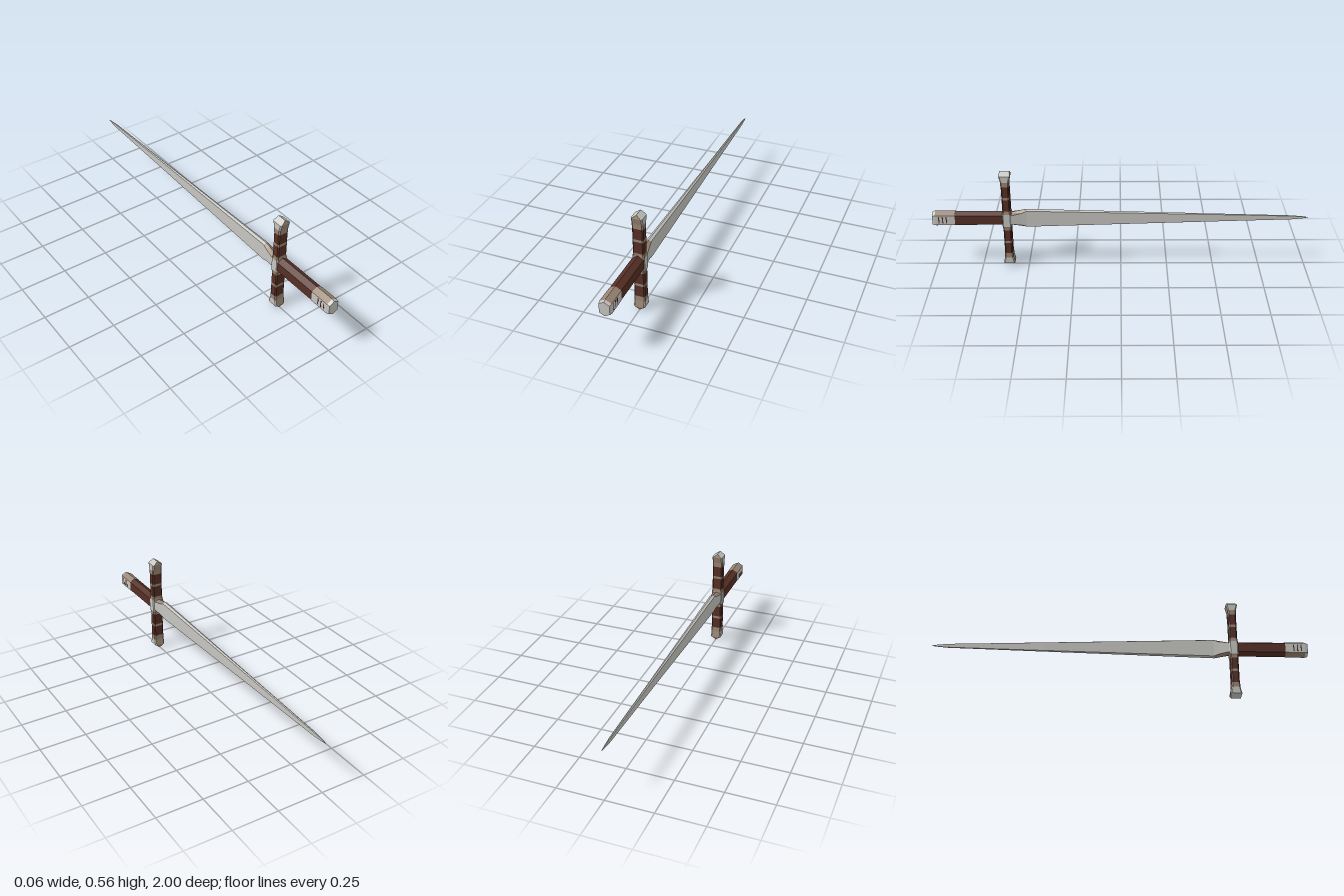
import * as THREE from 'three';

const material = (name, color) => {
  const m = new THREE.MeshStandardMaterial({ color, flatShading: true });
  m.name = name;
  return m;
};

const MID = 0.283; // height of the blade axis

// Skin between cross-sections {w, pts}; pick(row, side) chooses the material of
// each quad (row -1 is the start cap, row -2 the end cap).
function loft(name, rings, pick, place) {
  const buckets = new Map();
  const add = (mat, corners) => {
    if (!buckets.has(mat)) buckets.set(mat, []);
    corners.forEach((c) => buckets.get(mat).push(...place(...c)));
  };
  const at = (r, i) => [...rings[r].pts[i % rings[r].pts.length], rings[r].w];
  const n = rings[0].pts.length;
  const last = rings.length - 1;
  for (let r = 0; r < last; r++) {
    for (let i = 0; i < n; i++) {
      const a = at(r, i), b = at(r, i + 1), c = at(r + 1, i + 1), d = at(r + 1, i);
      add(pick(r, i), [a, b, c, a, c, d]);
    }
  }
  for (let i = 1; i < n - 1; i++) {
    add(pick(-1, i), [at(0, 0), at(0, i + 1), at(0, i)]);
    add(pick(-2, i), [at(last, 0), at(last, i), at(last, i + 1)]);
  }
  const group = new THREE.Group();
  group.name = name;
  for (const [mat, positions] of buckets) {
    const geo = new THREE.BufferGeometry();
    geo.setAttribute('position', new THREE.Float32BufferAttribute(positions, 3));
    geo.computeVertexNormals();
    const mesh = new THREE.Mesh(geo, mat);
    mesh.name = `${name} ${mat.name}`;
    group.add(mesh);
  }
  return group;
}

// Hexagon with points up and down: half width t, half height h, flat side to f
const hexagon = (t, h, f) => [[t, -f], [t, f], [0, h], [-t, f], [-t, -f], [0, -h]];
// Chamfered rectangle: half sizes a, b, corner cut c
const chamfered = (a, b, c) => [
  [a, -b + c], [a, b - c], [a - c, b], [-a + c, b],
  [-a, b - c], [-a, -b + c], [-a + c, -b], [a - c, -b],
];

export function createModel() {
  const steel = material('steel', 0xc6c5c0);
  const bronze = material('aged bronze', 0x9a8674);
  const leather = material('brown leather', 0x562f25);
  const sword = new THREE.Group();
  sword.name = 'sword';

  const alongZ = (x, y, z) => [x, y + MID, z];
  const alongY = (z, x, y) => [x, y + 0.28, z + 0.605];

  // Blade: tip, long taper and flared base
  const bladeRings = [
    [-1, 0.0005, 0.001], [-0.97, 0.002, 0.006], [-0.91, 0.004, 0.0115],
    [-0.4, 0.0065, 0.027], [0.5, 0.014, 0.054],
  ].map(([w, t, h]) => ({ w, pts: hexagon(t, h, h * 0.86) }));
  sword.add(loft('blade', bladeRings, () => steel, alongZ));

  const baseRings = [[0.5, 0.014, 0.054, 0.046], [0.525, 0.017, 0.049, 0.036], [0.6, 0.029, 0.03, 0.022]]
    .map(([w, t, h, f]) => ({ w, pts: hexagon(t, h, f) }));
  const steelSides = (r, i) => (r >= 0 && i % 3 !== 0 ? bronze : steel);
  sword.add(loft('bladeBase', baseRings, steelSides, alongZ));

  // Grip
  const gripRings = [0.6, 0.88].map((w) => ({ w, pts: hexagon(0.029, 0.042, 0.026) }));
  sword.add(loft('grip', gripRings, () => leather, alongZ));

  // Pommel: steel sides and end, bronze top and bottom
  const pommelRings = [[0.88, 1], [0.985, 1.02], [1, 0.9]]
    .map(([w, s]) => ({ w, pts: hexagon(0.03 * s, 0.044 * s, 0.027 * s) }));
  sword.add(loft('pommel', pommelRings, (r, i) =>
    (r === 0 && i % 3 !== 0 ? bronze : steel), alongZ));
  const stripe = new THREE.BoxGeometry(0.002, 0.036, 0.005);
  for (const side of [-1, 1]) {
    for (const z of [0.925, 0.945, 0.965]) {
      const mesh = new THREE.Mesh(stripe, leather);
      mesh.name = 'pommelStripe';
      mesh.position.set(side * 0.0303, MID, z);
      sword.add(mesh);
    }
  }

  // Crossguard shaft: leather with bronze bands
  const bands = [-0.2, -0.137, -0.123, -0.058, 0.058, 0.123, 0.137, 0.2];
  const shaftRings = bands.map((w) => ({ w, pts: chamfered(0.021, 0.029, 0.006) }));
  sword.add(loft('guardShaft', shaftRings, (r) => (r >= 0 && r % 2 === 0 ? leather : bronze), alongY));

  // Central collar
  const collarRings = [[-0.047, 0.0215, 0.0295], [-0.036, 0.024, 0.032], [0.036, 0.024, 0.032], [0.047, 0.0215, 0.0295]]
    .map(([w, a, b]) => ({ w, pts: chamfered(a, b, 0.006) }));
  sword.add(loft('guardCollar', collarRings, (r) => (r === 1 ? steel : bronze), alongY));

  // Flared guard ends closing in a ridge; bronze front and back, steel sides
  const endRings = [[0.198, 0.022, 0.0295], [0.225, 0.023, 0.0295], [0.26, 0.031, 0.0295], [0.28, 0.025, 0.0005]]
    .map(([w, a, b]) => ({ w, pts: chamfered(a, b, Math.min(0.006, b * 0.5)) }));
  const endColour = (r, i) => (r === 0 || i % 4 === 0 ? bronze : steel);
  const top = loft('guardEndTop', endRings, endColour, alongY);
  const bottom = loft('guardEndBottom', endRings, endColour, (z, x, y) => [-x, 0.28 - y, z + 0.605]);
  sword.add(top, bottom);

  return sword;
}
